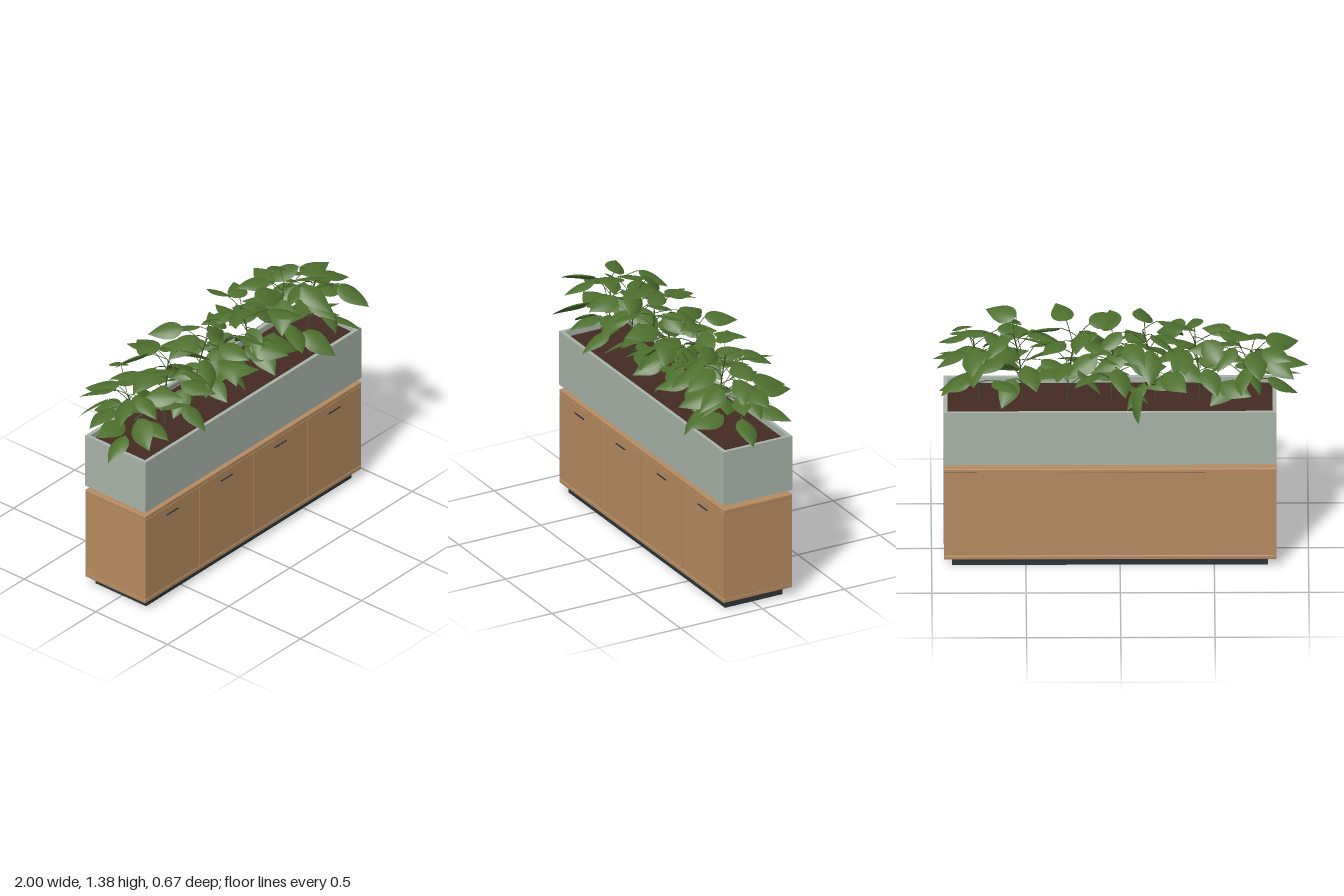
import * as THREE from 'three';
import { RoundedBoxGeometry } from 'three/addons/geometries/RoundedBoxGeometry.js';

const mat = (name, color, side = THREE.FrontSide) => {
  const m = new THREE.MeshStandardMaterial({ color, side });
  m.name = name;
  return m;
};

export function createModel() {
  const wood = mat('oak', 0xb68c62);
  const gap = mat('shadow gap', 0x4a3726);
  const dark = mat('dark metal', 0x2c3436);
  const grey = mat('grey green planter', 0xa8b4a9);
  const earth = mat('soil', 0x452b22);
  const green = mat('leaf green', 0x4d702e, THREE.DoubleSide);
  const stemGreen = mat('stem green', 0x3c5424);

  const model = new THREE.Group();
  model.name = 'planterCabinet';
  const group = (name) => {
    const g = new THREE.Group();
    g.name = name;
    model.add(g);
    return g;
  };
  // Box given by its minimum and maximum on each axis, with optionally eased edges
  const box = (parent, name, m, x0, x1, y0, y1, z0, z1, ease = 0) => {
    const size = [x1 - x0, y1 - y0, z1 - z0];
    const geo = ease ? new RoundedBoxGeometry(...size, 2, ease) : new THREE.BoxGeometry(...size);
    const mesh = new THREE.Mesh(geo, m);
    mesh.position.set((x0 + x1) / 2, (y0 + y1) / 2, (z0 + z1) / 2);
    mesh.name = name;
    parent.add(mesh);
  };

  const X0 = -0.83, X1 = 0.935, Z0 = -0.22, Z1 = 0.2;

  // Cabinet
  const cabinet = group('cabinet');
  box(cabinet, 'plinth', dark, -0.785, 0.892, 0, 0.05, -0.185, 0.167);
  box(cabinet, 'bottomPanel', wood, X0, X1, 0.05, 0.073, Z0, Z1, 0.004);
  box(cabinet, 'topPanel', wood, X0, X1, 0.573, 0.595, Z0, Z1, 0.004);
  box(cabinet, 'core', gap, X0 + 0.01, X1 - 0.01, 0.07, 0.576, Z0 + 0.012, Z1 - 0.008);
  box(cabinet, 'leftPanel', wood, X1 - 0.02, X1 - 0.001, 0.07, 0.576, Z0 + 0.001, Z1 - 0.008);
  box(cabinet, 'rightPanel', wood, X0 + 0.001, X0 + 0.02, 0.07, 0.576, Z0 + 0.001, Z1 - 0.008);
  box(cabinet, 'backPanel', wood, X0 + 0.02, X1 - 0.02, 0.07, 0.576, Z0 + 0.004, Z0 + 0.02);

  // Four doors with slim pulls
  const step = (X1 - X0) / 4;
  for (let i = 0; i < 4; i++) {
    const a = X0 + i * step, c = a + step / 2;
    const left = a + (i ? 0.003 : 0.001), right = a + step - (i < 3 ? 0.003 : 0.001);
    box(cabinet, 'door', wood, left, right, 0.075, 0.571, Z1 - 0.02, Z1 - 0.001);
    box(cabinet, 'handle', dark, c - 0.048, c + 0.048, 0.523, 0.527, Z1 - 0.001, Z1 + 0.006);
  }

  // Planter trough on four feet
  const planter = group('planter');
  for (const x of [-0.665, 0.766]) for (const z of [0.122, -0.142]) {
    const foot = new THREE.Mesh(new THREE.CylinderGeometry(0.016, 0.021, 0.027, 20), dark);
    foot.position.set(x, 0.6085, z);
    foot.name = 'foot';
    planter.add(foot);
  }
  const t = 0.02;
  box(planter, 'base', grey, X0 + t, X1 - t, 0.62, 0.64, Z0 + t, Z1 - t);
  box(planter, 'frontWall', grey, X0, X1, 0.62, 0.934, Z1 - t, Z1);
  box(planter, 'backWall', grey, X0, X1, 0.62, 0.934, Z0, Z0 + t);
  box(planter, 'rightWall', grey, X0, X0 + t, 0.62, 0.934, Z0 + t, Z1 - t);
  box(planter, 'leftWall', grey, X1 - t, X1, 0.62, 0.934, Z0 + t, Z1 - t);
  box(planter, 'soil', earth, X0 + t, X1 - t, 0.64, 0.9, Z0 + t, Z1 - t);

  // Unit leaf along +z: pointed oval, gently domed and arching down
  const leafGeo = new THREE.PlaneGeometry(2, 1, 6, 12).rotateX(-Math.PI / 2);
  const p = leafGeo.attributes.position;
  for (let i = 0; i < p.count; i++) {
    const u = p.getX(i), s = p.getZ(i) + 0.5;
    const w = 0.29 * Math.sin(Math.PI * Math.pow(s, 0.7));
    p.setXYZ(i, u * w, 0.1 * s - 0.24 * s * s - 0.25 * w * u * u, s);
  }
  leafGeo.computeVertexNormals();

  const addLeaf = (parent, pos, az, pitch, roll, len) => {
    const leaf = new THREE.Mesh(leafGeo, green);
    leaf.rotation.order = 'YXZ';
    leaf.rotation.set(pitch, az, roll);
    leaf.position.copy(pos);
    leaf.scale.setScalar(len);
    leaf.name = 'leaf';
    parent.add(leaf);
  };
  const addStem = (parent, name, a, b, c, r, seg) => {
    const curve = new THREE.QuadraticBezierCurve3(a, b, c);
    const stem = new THREE.Mesh(new THREE.TubeGeometry(curve, seg, r, 6), stemGreen);
    stem.name = name;
    parent.add(stem);
    return curve;
  };

  let seed = 11;
  const rand = (a, b) => {
    seed = (seed * 16807) % 2147483647;
    return a + (b - a) * (seed / 2147483647);
  };
  const V = (x, y, z) => new THREE.Vector3(x, y, z);

  // Seven plants in a row: stem top height and sideways lean
  const plants = [[1.21, -0.04], [1.28, 0.035], [1.3, 0.07], [1.23, -0.01], [1.3, -0.05], [1.3, 0.05], [1.25, 0.03]];
  const COUNT = 15;
  plants.forEach(([top, lean], n) => {
    const plant = group('plant');
    const x = -0.66 + n * 0.235;
    const stem = addStem(plant, 'stem', V(x, 0.89, -0.01), V(x, 1.1, -0.01),
      V(x + lean, top, rand(-0.04, 0.03)), 0.0036, 10);
    for (let i = 0; i < COUNT; i++) {
      const f = i / (COUNT - 1);
      const az = i * 2.4 + n * 1.3 + rand(-0.35, 0.35);
      const dx = Math.sin(az), dz = Math.cos(az);
      const len = rand(0.175, 0.225);
      const start = stem.getPoint(0.22 + 0.78 * f);
      // Leaf stalk, shortened so the foliage keeps to a long, narrow mass
      const room = Math.min((0.96 - Math.sign(dx) * start.x) / Math.abs(dx), 0.33 / Math.abs(dz)) - len;
      const reach = Math.max(0.025, Math.min(rand(0.05, 0.15), room));
      const end = V(start.x + dx * reach, start.y + rand(0.03, 0.085), start.z + dz * reach);
      const mid = start.clone().lerp(end, 0.5).add(V(0, 0.012, 0));
      addStem(plant, 'leafStalk', start, mid, end, 0.002, 5);
      addLeaf(plant, end, az, rand(-0.15, 0.5), rand(-0.6, 0.6), len);
    }
  });

  // Outlying leaves: stalk start, leaf base, direction, droop, roll and length
  const outer = group('outerLeaves');
  const outliers = [
    [V(-0.67, 1.12, -0.01), V(-0.8, 1.165, -0.05), -1.57, 0.05, 0.15, 0.2],
    [V(-0.66, 1.0, -0.01), V(-0.78, 1.01, 0.02), -1.5, 0.4, 0.15, 0.19],
    [V(-0.69, 1.19, -0.01), V(-0.75, 1.24, -0.09), -2.2, -0.05, 0.4, 0.19],
    [V(-0.64, 1.22, -0.01), V(-0.59, 1.3, 0.02), 1.2, 0.0, -0.3, 0.17],
    [V(0.76, 1.13, -0.01), V(0.8, 1.2, -0.03), 1.6, 0.05, 0.15, 0.2],
    [V(-0.185, 0.99, -0.01), V(-0.08, 1.04, -0.14), 3.1, 0.6, 1.05, 0.21],
    [V(0.525, 1.2, -0.01), V(0.57, 1.28, 0.14), 0.08, 0.3, 0.15, 0.2],
    [V(0.55, 1.28, 0), V(0.55, 1.36, 0.06), 1.0, -0.05, -0.5, 0.2],
    [V(0.77, 1.24, 0), V(0.82, 1.22, 0.13), 0.3, 0.3, 0.15, 0.2],
    [V(0.23, 1.28, -0.01), V(0.2, 1.36, -0.1), 2.9, 0.1, 0.4, 0.19],
    [V(-0.13, 1.28, -0.01), V(-0.17, 1.34, -0.1), -2.4, 0.1, -0.45, 0.19],
    [V(-0.34, 1.2, -0.01), V(-0.33, 1.27, -0.16), 3.2, 0.1, 0.15, 0.19],
  ];
  for (const [a, b, az, pitch, roll, len] of outliers) {
    addStem(outer, 'leafStalk', a, a.clone().lerp(b, 0.5).add(V(0, 0.015, 0)), b, 0.002, 5);
    addLeaf(outer, b, az, pitch, roll, len);
  }
  return model;
}
